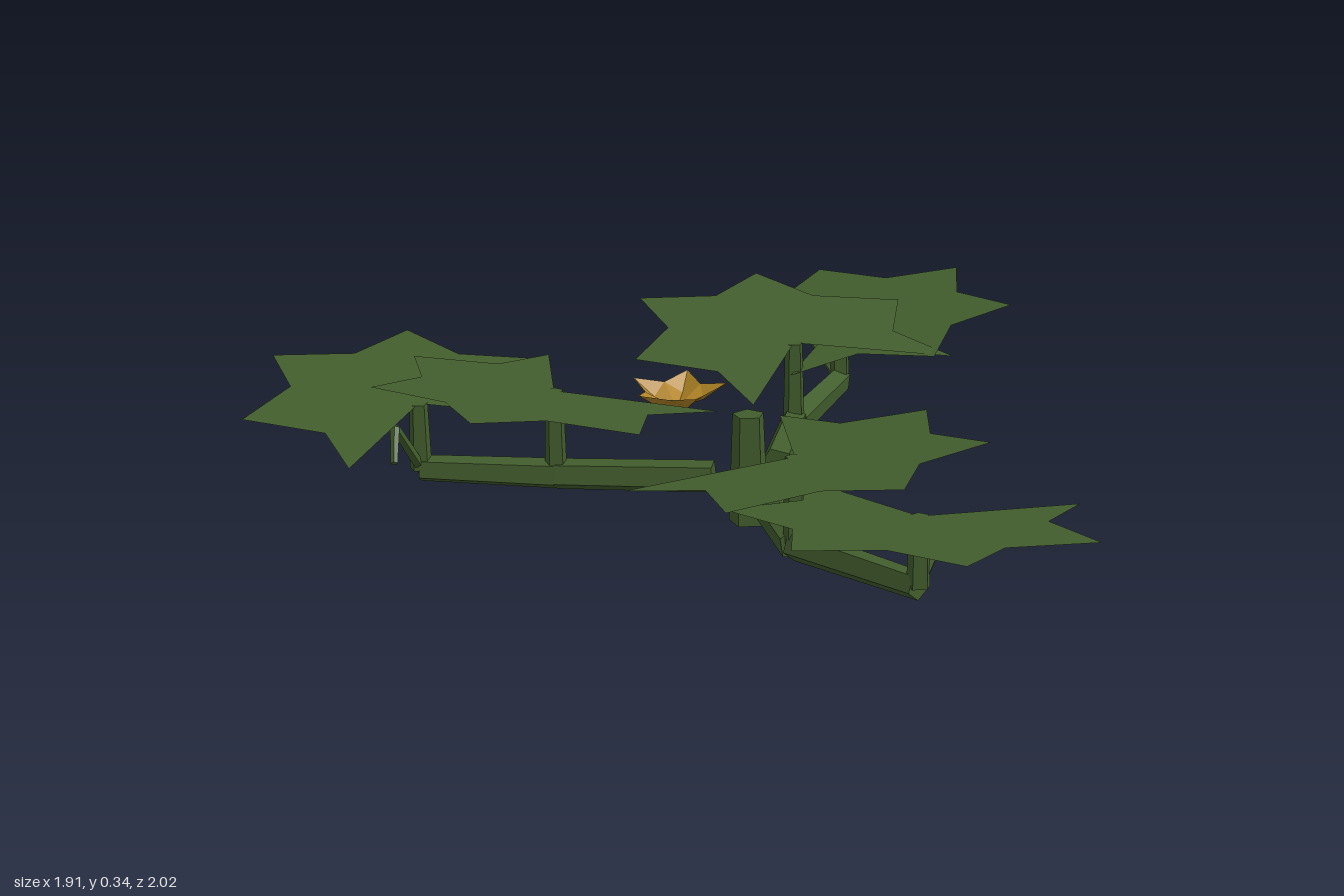
import * as THREE from 'three';

const green = new THREE.MeshStandardMaterial({ color: 0x425d2d, flatShading: true });
green.name = 'vine green';
const leafGreen = new THREE.MeshStandardMaterial({ color: 0x425d2d, flatShading: true, side: THREE.DoubleSide });
leafGreen.name = 'leaf green';
const gold = new THREE.MeshStandardMaterial({ color: 0xb08426, flatShading: true, side: THREE.DoubleSide });
gold.name = 'blossom gold';

const V = (a) => new THREE.Vector3(...a);

// Five-sided tapered stalk running from a to b
function stalk(name, a, b, r0, r1) {
  const from = V(a), dir = V(b).sub(from), len = dir.length();
  const mesh = new THREE.Mesh(new THREE.CylinderGeometry(r1, r0, len, 5), green);
  mesh.name = name;
  mesh.position.copy(from).addScaledVector(dir, 0.5);
  mesh.quaternion.setFromUnitVectors(new THREE.Vector3(0, 1, 0), dir.normalize());
  return mesh;
}

// Half outline of a six-pointed leaf: [sideways, forward] from the notch
const HALF = [[0.29, -0.23], [0.255, -0.05], [0.385, 0.09], [0.213, 0.203], [0.172, 0.375]];
function leafGeometry() {
  const mirrored = HALF.map(([x, y]) => [-x, y]).reverse();
  const outline = [[0, 0], ...HALF, [0, 0.306], ...mirrored];
  const shape = new THREE.Shape(outline.map(([x, y]) => new THREE.Vector2(x, y)));
  return new THREE.ShapeGeometry(shape).rotateX(-Math.PI / 2);
}

// Leaf blade on top of its upright stalk, pointing along (dx, dz) and rising outward
function leaf(geometry, [x, y, z], [dx, dz], pitch) {
  const group = new THREE.Group();
  group.name = 'leaf';
  const blade = new THREE.Mesh(geometry, leafGreen);
  blade.name = 'leafBlade';
  blade.position.set(x, y, z);
  blade.rotation.set(pitch, Math.atan2(-dx, -dz), 0, 'YXZ');
  group.add(blade, stalk('leafStalk', [x, 0.1, z], [x, y, z], 0.026, 0.021));
  return group;
}

// Shallow open blossom with pointed, creased petals
function blossom() {
  const pos = [], n = 5, at = (r, a, y) => [Math.cos(a) * r, y, Math.sin(a) * r];
  for (let i = 0; i < n; i++) {
    const a = (i / n) * Math.PI * 2 + 0.6, w = Math.PI / n;
    const base = [0, 0, 0], tip = at(0.115, a, 0.055), ridge = at(0.06, a, 0.018);
    const l = at(0.072, a - w, 0.042), r = at(0.072, a + w, 0.042);
    pos.push(...base, ...ridge, ...l, ...l, ...ridge, ...tip);
    pos.push(...base, ...r, ...ridge, ...ridge, ...r, ...tip);
  }
  const geometry = new THREE.BufferGeometry();
  geometry.setAttribute('position', new THREE.Float32BufferAttribute(pos, 3));
  geometry.computeVertexNormals();
  const mesh = new THREE.Mesh(geometry, gold);
  mesh.name = 'blossom';
  mesh.position.set(-0.035, 0.18, -0.37);
  return mesh;
}

// Runners: start, joint and end of the vine, directions of both leaves, curl of the tendril
const RUNNERS = [
  { name: 'backRightVine', start: [-0.14, -0.12], joint: [-0.37, -0.39], end: [-0.58, -0.61],
    inner: [-1, 0.04], outer: [0.13, -0.99], curl: [[-0.68, 0.23, -0.56], [-0.72, 0.17, -0.51]] },
  { name: 'backLeftVine', start: [0.02, -0.09], joint: [0.26, -0.3], end: [0.55, -0.46],
    inner: [0.07, -1], outer: [0.926, 0.377], curl: [[0.51, 0.23, -0.55], [0.5, 0.18, -0.59]] },
  { name: 'frontVine', start: [-0.13, 0.02], joint: [-0.27, 0.295], end: [-0.25, 0.65],
    inner: [0.26, 0.965], outer: [-0.83, 0.56], curl: [[-0.18, 0.23, 0.66], [-0.175, 0.18, 0.74]] },
];

export function createModel() {
  const model = new THREE.Group();
  model.name = 'leafyVinePlant';

  // Central stump
  const stump = stalk('stump', [-0.08, 0, -0.07], [-0.08, 0.25, -0.07], 0.046, 0.036);
  model.add(stump);

  const geometry = leafGeometry();
  for (const { name, start, joint, end, inner, outer, curl } of RUNNERS) {
    const runner = new THREE.Group();
    runner.name = name;
    const s = [start[0], 0.105, start[1]], j = [joint[0], 0.095, joint[1]], e = [end[0], 0.1, end[1]];
    runner.add(
      stalk('vineBase', s, j, 0.038, 0.036),
      stalk('vineTip', j, e, 0.036, 0.031),
      leaf(geometry, [joint[0], 0.29, joint[1]], inner, 0.14),
      leaf(geometry, [end[0], 0.252, end[1]], outer, 0.125),
      stalk('tendrilRise', e, curl[0], 0.013, 0.011),
      stalk('tendrilDrop', curl[0], curl[1], 0.011, 0.008),
    );
    model.add(runner);
  }

  model.add(blossom());
  return model;
}
